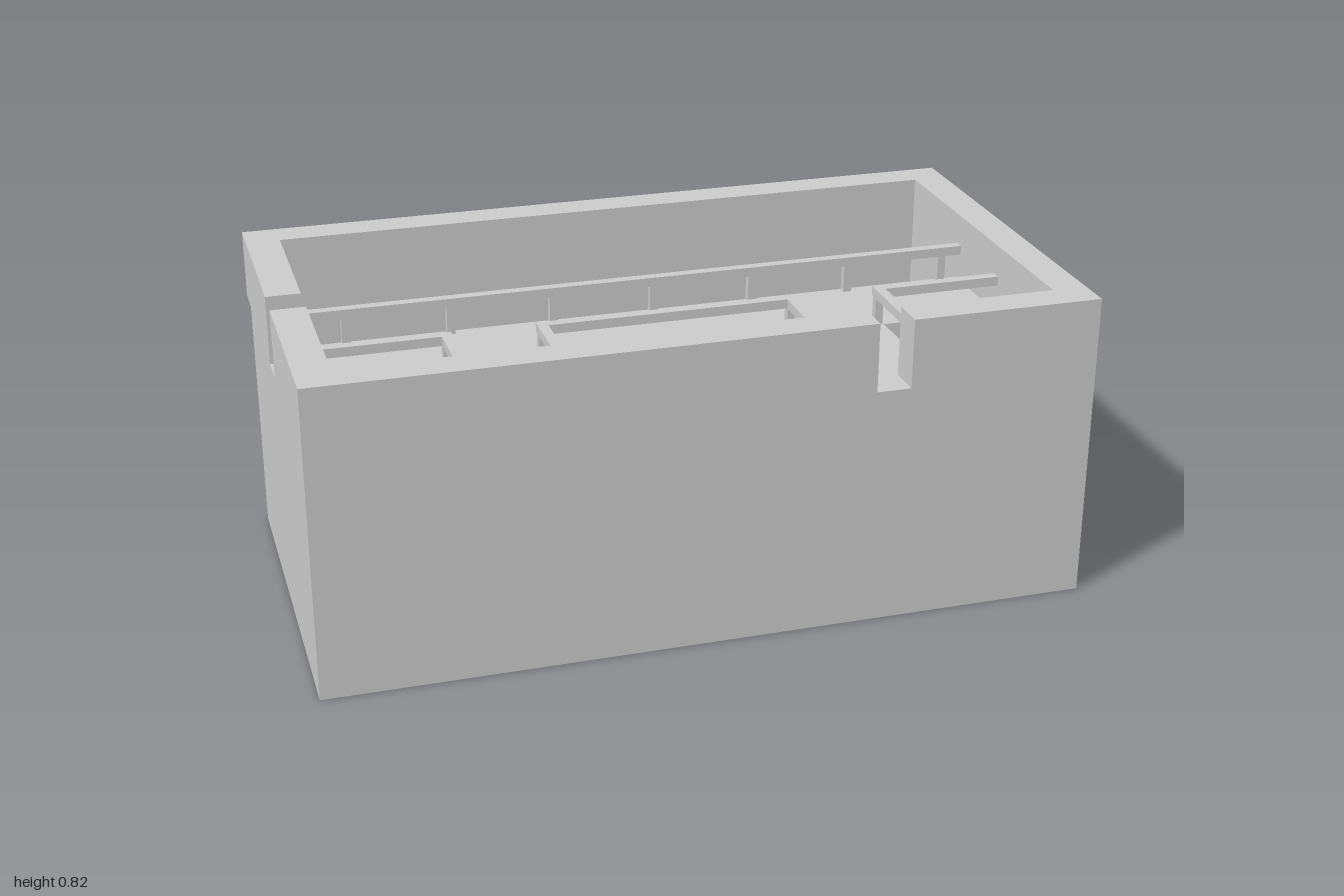
import * as THREE from 'three';

export function createModel() {
  const root = new THREE.Group();
  const mat = new THREE.MeshStandardMaterial({ color: 0xcccccc, flatShading: true });
  const thin = mat.clone();
  thin.side = THREE.DoubleSide;

  // Outer size, inner faces of the walls, and the main levels
  const X = 1, Z = 0.545, XI = 0.91, ZI = 0.455;
  const DECK = 0.638, TOP = 0.82, D0 = DECK - 0.06;

  const group = (name) => {
    const g = new THREE.Group();
    g.name = name;
    root.add(g);
    return g;
  };
  // Box given by its two opposite corners
  const box = (parent, name, x0, x1, y0, y1, z0, z1) => {
    const m = new THREE.Mesh(new THREE.BoxGeometry(x1 - x0, y1 - y0, z1 - z0), mat);
    m.position.set((x0 + x1) / 2, (y0 + y1) / 2, (z0 + z1) / 2);
    m.name = name;
    parent.add(m);
  };
  // Upright panel from the ground to the deck between two plan points
  const panel = (parent, name, [ax, az], [bx, bz]) => {
    const m = new THREE.Mesh(new THREE.PlaneGeometry(Math.hypot(bx - ax, bz - az), DECK), thin);
    m.position.set((ax + bx) / 2, DECK / 2, (az + bz) / 2);
    m.rotation.y = Math.atan2(az - bz, bx - ax);
    m.name = name;
    parent.add(m);
  };
  const planShape = (points) => new THREE.Shape(points.map(([x, z]) => new THREE.Vector2(x, z)));

  // Lower walls: hollow double skin with the two back corners cut away
  const lower = group('lowerWalls');
  const outline = [[-X, Z], [X, Z], [X, -ZI], [XI, -ZI], [XI, -Z], [-XI, -Z], [-XI, -ZI], [-X, -ZI]];
  outline.forEach((p, i) => panel(lower, 'outerSkin', p, outline[(i + 1) % outline.length]));
  panel(lower, 'innerFront', [X, ZI], [-X, ZI]);
  panel(lower, 'innerBack', [-XI, -ZI], [XI, -ZI]);
  panel(lower, 'innerLeft', [XI, -ZI], [XI, ZI]);
  panel(lower, 'innerRight', [-XI, ZI], [-XI, -ZI]);

  // Floor sheet, leaving the front and right walls open underneath
  const floor = new THREE.Mesh(new THREE.ShapeGeometry(planShape(
    [[-XI, -Z], [XI, -Z], [XI, -ZI], [X, -ZI], [X, ZI], [-XI, ZI]])), thin);
  floor.rotation.x = Math.PI / 2;
  floor.name = 'floor';
  root.add(floor);

  // Parapet with full corners and two doorways
  const upper = group('parapet');
  box(upper, 'backParapet', -X, X, DECK, TOP, -Z, -ZI);
  box(upper, 'leftParapet', XI, X, DECK, TOP, -ZI, ZI);
  box(upper, 'frontParapetLong', -X, 0.41, DECK, TOP, ZI, Z);
  box(upper, 'frontParapetShort', 0.5, X, DECK, TOP, ZI, Z);
  box(upper, 'rightParapetBack', -X, -XI, DECK, TOP, -ZI, -0.048);
  box(upper, 'rightParapetFront', -X, -XI, DECK, TOP, 0.045, ZI);
  box(upper, 'frontSill', 0.41, 0.5, D0, DECK, ZI, Z);
  box(upper, 'rightSill', -X, -XI, D0, DECK, -0.048, 0.045);

  // Walkway: a corridor with two fingers reaching the front wall
  const Z0 = -0.14, Z1 = 0.134, F0 = 0.318, F1 = 0.59;
  const walkway = new THREE.Mesh(new THREE.ExtrudeGeometry(planShape([
    [-XI, Z0], [XI, Z0], [XI, Z1], [F1, Z1], [F1, ZI], [F0, ZI], [F0, Z1],
    [-F0, Z1], [-F0, ZI], [-F1, ZI], [-F1, Z1], [-XI, Z1],
  ]), { depth: DECK - D0, bevelEnabled: false }), mat);
  walkway.rotation.x = Math.PI / 2;
  walkway.position.y = DECK;
  walkway.name = 'walkway';
  root.add(walkway);

  // Railings along the pit edges
  const T = 0.027, R0 = 0.713, R1 = 0.738;
  const rails = group('railings');
  const post = (x, z) => box(rails, 'railPost', x, x + T * 0.8, DECK, R0, z, z + T * 0.8);
  const rail = (x0, x1, z0, z1) => box(rails, 'handrail', x0, x1, R0, R1, z0, z1);

  rail(-XI, XI, Z0, Z0 + T);
  for (let i = 0; i < 7; i++) post(0.845 - i * 0.275, Z0 + 0.002);

  const ZR = Z1 - T;
  rail(-XI, T - F1, ZR, Z1);
  rail(-F0 - T, F0 + T, ZR, Z1);
  rail(F1 - T, XI, ZR, Z1);
  for (const x of [-F1, -F0 - T, F0, F1 - T]) {
    rail(x, x + T, Z1, ZI);
    post(x + 0.002, ZR + 0.002);
  }
  return root;
}
